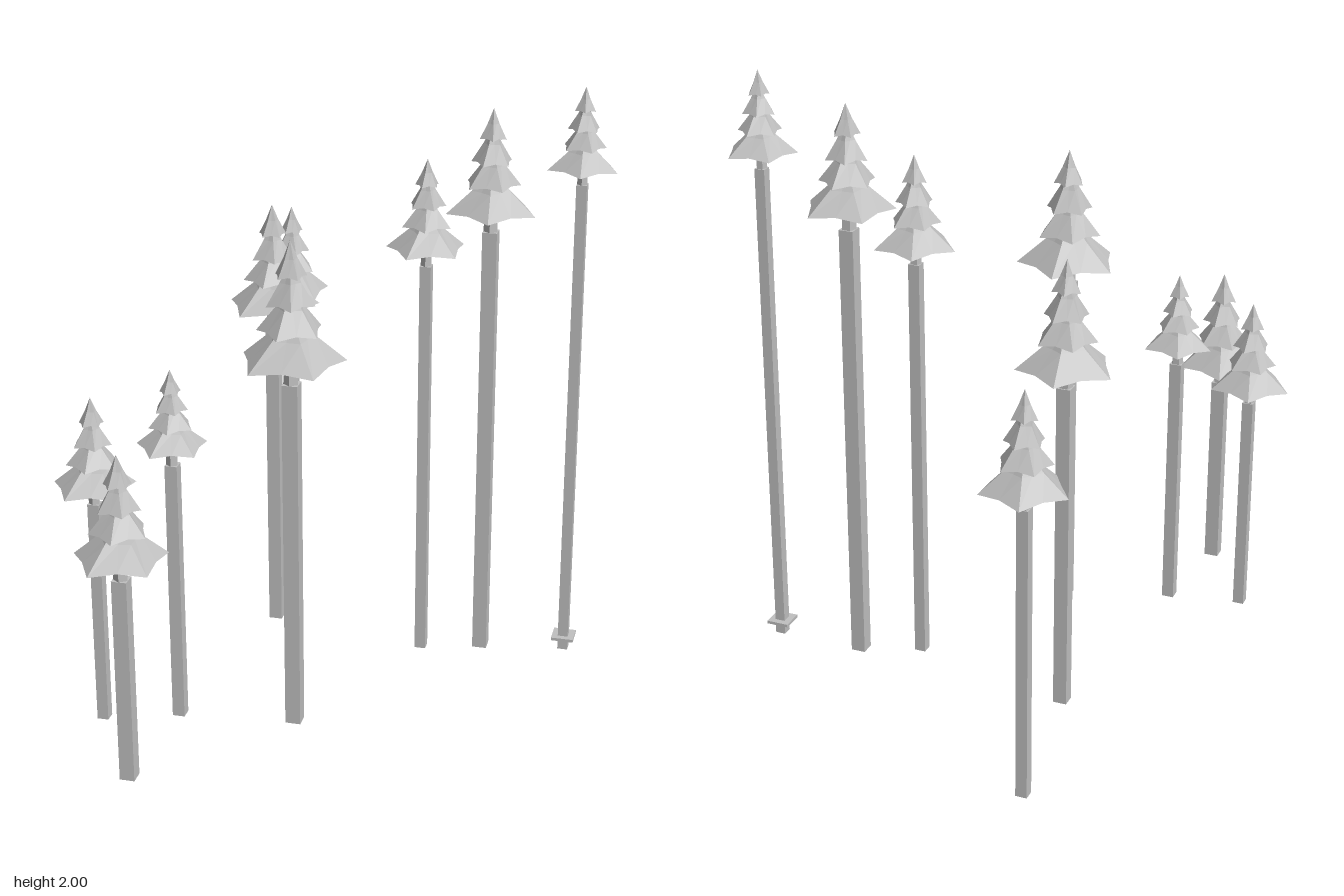
import * as THREE from 'three';

// x, z, trunk base, trunk joint, crown bottom, crown top, crown radius, turn (degrees), trunk width
const TREES = [
  [-0.683, 0.528, 0.02, 0.785, 0.84, 1.14, 0.135, -32, 0.037],
  [-0.487, 0.847, 0.015, 0.70, 0.765, 1.105, 0.15, -33, 0.048],
  [-0.445, 0.464, 0.03, 0.915, 0.975, 1.23, 0.115, -36, 0.04],
  [-0.333, -0.302, 0.01, 1.12, 1.18, 1.535, 0.158, -25, 0.045],
  [-0.42, -0.858, 0.02, 0.985, 1.04, 1.355, 0.137, -33, 0.037],
  [-0.084, 0.375, 0.005, 1.185, 1.255, 1.645, 0.172, -20, 0.05],
  [0.214, -0.19, 0.02, 1.405, 1.46, 1.76, 0.133, -37, 0.037],
  [0.41, -0.257, 0.015, 1.515, 1.58, 1.92, 0.15, 12, 0.048],
  [0.695, -0.28, 0.03, 1.685, 1.735, 2.0, 0.116, 14, 0.034],
];

// Crown tiers as fractions from the apex down: top, bottom, radius
const TIERS = [
  [0, 0.29, 0.3],
  [0.15, 0.52, 0.46],
  [0.35, 0.74, 0.62],
  [0.57, 1, 1],
];

// Five-pointed skirt with a flared, concave side and a closed underside
function skirt(radius, height) {
  const geo = new THREE.ConeGeometry(radius, height, 10, 2);
  const pos = geo.attributes.position;
  for (let i = 0; i < pos.count; i++) {
    const x = pos.getX(i), y = pos.getY(i), z = pos.getZ(i);
    if (Math.hypot(x, z) < 1e-6) continue;
    const step = Math.round(Math.atan2(x, z) / (Math.PI / 5));
    const valley = step % 2 !== 0;
    const mid = Math.abs(y) < height * 0.1;
    const s = (valley ? 0.77 : 1) * (mid ? 0.88 : 1);
    const lift = valley && !mid ? height * 0.06 : 0;
    pos.setXYZ(i, x * s, y + lift, z * s);
  }
  return geo;
}

export function createModel() {
  const model = new THREE.Group();
  model.name = 'treeCluster';
  const grey = new THREE.MeshStandardMaterial({ color: 0xc0c0c0, flatShading: true });
  grey.name = 'grey';

  const add = (parent, name, geo, y, turn = 0) => {
    const mesh = new THREE.Mesh(geo, grey);
    mesh.name = name;
    mesh.position.y = y;
    mesh.rotation.y = turn;
    parent.add(mesh);
  };

  TREES.forEach(([x, z, base, joint, low, top, radius, turn, width], i) => {
    const tree = new THREE.Group();
    tree.name = 'tree' + (i + 1);
    tree.position.set(x, 0, z);

    // Tall square trunk and the short piece that carries the crown
    add(tree, 'trunk', new THREE.BoxGeometry(width, joint - base, width), (joint + base) / 2);
    const neckTop = low + 0.03;
    add(tree, 'upperTrunk', new THREE.CylinderGeometry(width * 0.46, width * 0.5, neckTop - joint, 5),
      (neckTop + joint) / 2);

    // Stacked skirts, each turned against the one below
    const height = top - low;
    TIERS.forEach(([a, b, r], t) => {
      const h = (b - a) * height;
      const angle = THREE.MathUtils.degToRad(90 - turn + (3 - t) * 25);
      add(tree, 'crownTier' + (t + 1), skirt(radius * r, h), top - a * height - h / 2, angle);
    });
    model.add(tree);
  });

  // Thin square collar near the foot of the tallest tree
  add(model.children[8], 'footCollar', new THREE.BoxGeometry(0.075, 0.01, 0.075), 0.075);
  return model;
}
